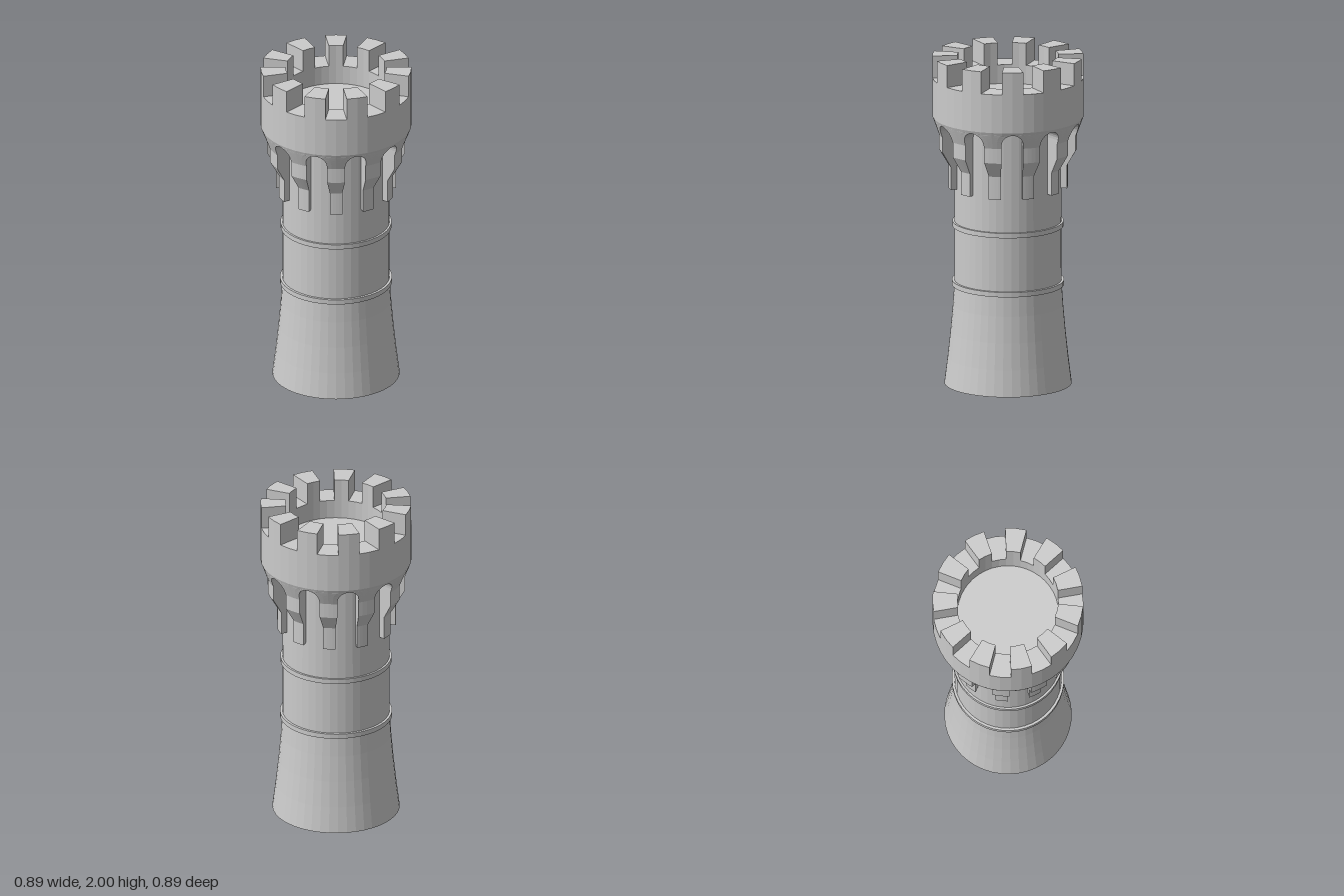
import * as THREE from 'three';

const COUNT = 11;                         // merlons, niches and brackets around the tower
const STEP = (Math.PI * 2) / COUNT;
const SEGMENTS = COUNT * 4;
const PHASE = THREE.MathUtils.degToRad(-5.2); // first niche, measured from the front towards +x

const material = new THREE.MeshStandardMaterial({ color: 0xcccccc, flatShading: true });

function addMesh(parent, name, geometry) {
  const mesh = new THREE.Mesh(geometry, material);
  mesh.name = name;
  parent.add(mesh);
  return mesh;
}

// Turned part from [radius, height] pairs
function turned(profile) {
  const points = profile.map(([r, y]) => new THREE.Vector2(r, y));
  return new THREE.LatheGeometry(points, SEGMENTS, PHASE);
}

// Block following the curve of the parapet
function merlonGeometry(inner, outer, height) {
  const points = [];
  const at = (r, a) => points.push(new THREE.Vector2(r * Math.sin(a), -r * Math.cos(a)));
  for (let i = -1; i <= 1; i++) at(outer, (i * STEP) / 4);
  for (let i = 1; i >= -1; i--) at(inner, (i * STEP) / 4);
  const geometry = new THREE.ExtrudeGeometry(new THREE.Shape(points), { depth: height, bevelEnabled: false });
  return geometry.rotateX(-Math.PI / 2);
}

// One arched niche with half a stepped bracket on each side
function corbelGeometry() {
  const innerR = 0.31, halfWidth = 0.064, spring = 1.55, columns = 2;
  const outline = [[0.355, 1.2], [0.355, 1.34], [0.41, 1.435], [0.41, 1.525], [0.448, 1.63]];
  const radiusAt = (y) => {
    for (let i = 1; i < outline.length; i++) {
      const [r0, y0] = outline[i - 1], [r1, y1] = outline[i];
      if (y <= y1) return r0 + ((r1 - r0) * (y - y0)) / (y1 - y0);
    }
    return outline[outline.length - 1][0];
  };

  // Rows of [height, half width of the opening]
  const rows = outline.slice(0, 4).map(([, y]) => [y, halfWidth]);
  for (let i = 0; i <= 6; i++) {
    const t = (i / 6) * Math.PI / 2;
    rows.push([spring + halfWidth * Math.sin(t), i === 6 ? 0 : halfWidth * Math.cos(t)]);
  }
  rows.push([1.63, 0]);

  const positions = [];
  const quad = (a, b, c, d) => {
    for (const p of [a, b, c, a, c, d]) positions.push(...p);
    const m = ([x, y, z]) => [-x, y, z];
    for (const p of [a, c, b, a, d, c]) positions.push(...m(p));
  };
  const point = (r, h, y, k) => {
    const start = Math.asin(h / r);
    const a = start + (STEP / 2 - start) * (k / columns);
    return [r * Math.sin(a), y, r * Math.cos(a)];
  };

  for (let i = 0; i < rows.length - 1; i++) {
    const [y0, h0] = rows[i], [y1, h1] = rows[i + 1];
    const r0 = radiusAt(y0), r1 = radiusAt(y1);
    // outer face
    for (let k = 0; k < columns; k++) {
      quad(point(r0, h0, y0, k), point(r0, h0, y0, k + 1), point(r1, h1, y1, k + 1), point(r1, h1, y1, k));
    }
    // niche side and arch
    if (h0 > 0) {
      quad(point(innerR, h0, y0, 0), point(r0, h0, y0, 0), point(r1, h1, y1, 0), point(innerR, h1, y1, 0));
    }
  }
  // underside of the bracket
  const [bottom, h] = rows[0], r = radiusAt(bottom);
  for (let k = 0; k < columns; k++) {
    quad(point(innerR, h, bottom, k), point(innerR, h, bottom, k + 1),
      point(r, h, bottom, k + 1), point(r, h, bottom, k));
  }

  const geometry = new THREE.BufferGeometry();
  geometry.setAttribute('position', new THREE.Float32BufferAttribute(positions, 3));
  geometry.computeVertexNormals();
  return geometry;
}

export function createModel() {
  const tower = new THREE.Group();
  tower.name = 'tower';

  // Flared shaft with a closed foot
  addMesh(tower, 'shaft', turned([
    [0, 0], [0.378, 0], [0.358, 0.16], [0.341, 0.32], [0.327, 0.48], [0.318, 0.62], [0.317, 1.65],
  ]));

  // Raised bands
  for (const [name, r, y] of [['lowerBand', 0.333, 0.6], ['upperBand', 0.33, 0.96]]) {
    addMesh(tower, name, turned([[0.31, y], [r, y], [r, y + 0.03], [0.31, y + 0.03]]));
  }

  // Parapet wall and sunken floor
  addMesh(tower, 'parapet', turned([
    [0.448, 1.63], [0.448, 1.865], [0.3, 1.865], [0.3, 1.75], [0, 1.75],
  ]));

  // Corbels and merlons around the crown
  const corbels = new THREE.Group();
  corbels.name = 'corbels';
  const merlons = new THREE.Group();
  merlons.name = 'merlons';
  tower.add(corbels, merlons);
  const corbel = corbelGeometry();
  const merlon = merlonGeometry(0.3, 0.448, 0.135);
  for (let i = 0; i < COUNT; i++) {
    const angle = PHASE + i * STEP;
    addMesh(corbels, 'corbel', corbel).rotation.y = angle;
    const block = addMesh(merlons, 'merlon', merlon);
    block.rotation.y = angle;
    block.position.y = 1.865;
  }

  return tower;
}
